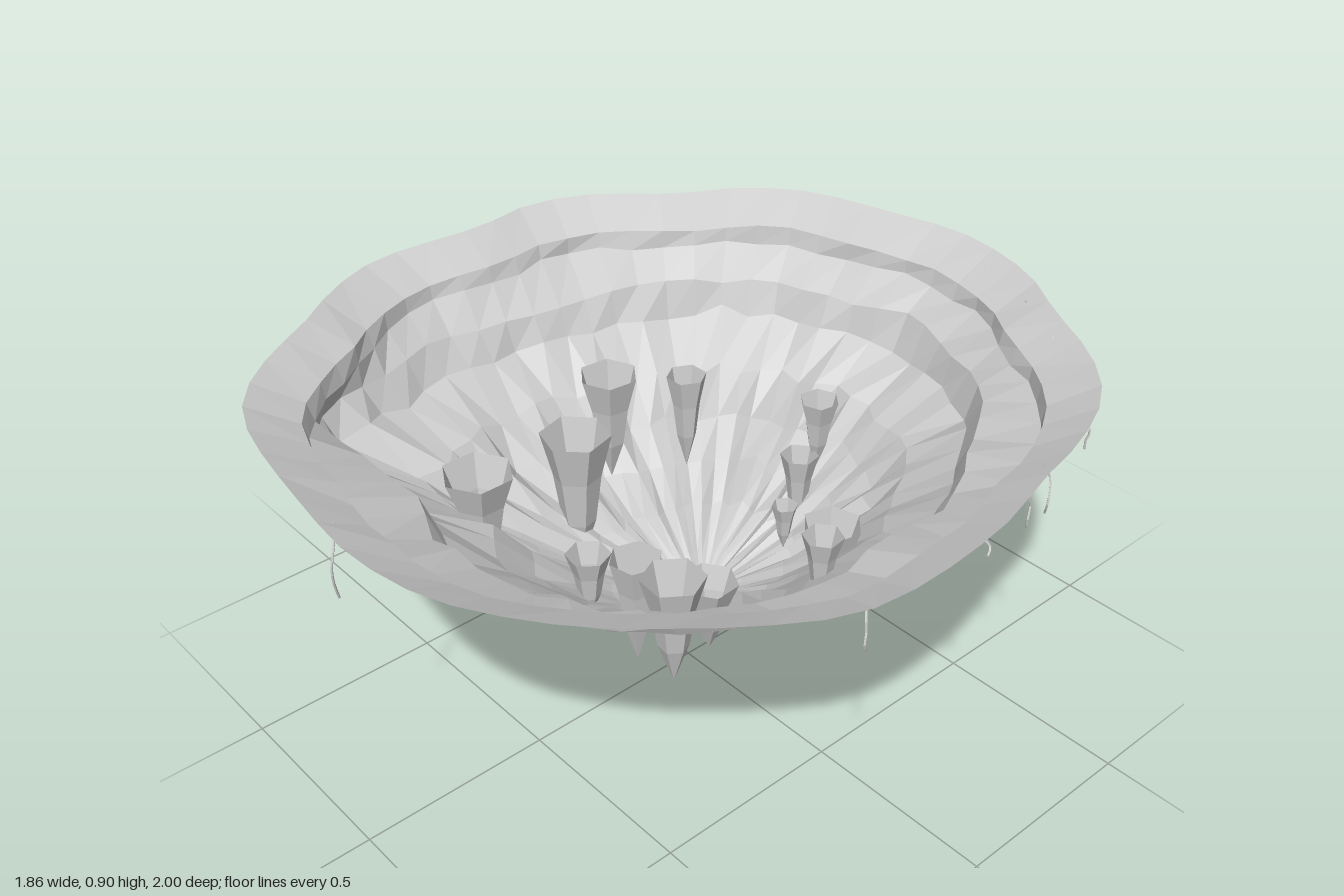
import * as THREE from 'three';

const stone = new THREE.MeshStandardMaterial({ color: 0xcccccc, flatShading: true, side: THREE.DoubleSide });
stone.name = 'paleStone';

// Repeatable noise in the range -1..1
function makeNoise(seed) {
  return () => {
    seed = (seed * 16807) % 2147483647;
    return (seed / 2147483647) * 2 - 1;
  };
}

const TIP = new THREE.Vector3(-0.08, 0, -0.12);
const SEGMENTS = 60;

// Closed outline through x, z pairs, sampled evenly
function sampleOutline(pairs, tension) {
  const points = pairs.map(([x, z]) => new THREE.Vector3(x, 0, z));
  return new THREE.CatmullRomCurve3(points, true, 'catmullrom', tension).getSpacedPoints(SEGMENTS);
}

// Wavy rim
const RIM = sampleOutline([
  [0, -1], [0.24, -0.95], [0.42, -0.84], [0.61, -0.73], [0.74, -0.6], [0.82, -0.42], [0.86, -0.24],
  [0.91, -0.05], [0.93, 0.19], [0.91, 0.37], [0.82, 0.53], [0.69, 0.69], [0.56, 0.82], [0.35, 0.95],
  [0.13, 0.995], [-0.08, 0.98], [-0.39, 0.93], [-0.55, 0.86], [-0.67, 0.73], [-0.76, 0.58],
  [-0.87, 0.42], [-0.93, 0.24], [-0.91, -0.05], [-0.93, -0.24], [-0.86, -0.42], [-0.72, -0.58],
  [-0.62, -0.75], [-0.47, -0.88], [-0.24, -0.95],
], 0.5);

// Craggier outline of the rock below it
const TERRACE = sampleOutline([
  [0, -0.75], [0.16, -0.71], [0.35, -0.63], [0.42, -0.57], [0.49, -0.45], [0.56, -0.34], [0.64, -0.16],
  [0.62, 0], [0.66, 0.21], [0.58, 0.4], [0.43, 0.58], [0.29, 0.67], [0.13, 0.7], [-0.05, 0.7],
  [-0.18, 0.65], [-0.42, 0.65], [-0.6, 0.66], [-0.66, 0.43], [-0.71, 0.21], [-0.66, -0.13],
  [-0.6, -0.34], [-0.5, -0.5], [-0.39, -0.63], [-0.23, -0.68],
], 0.2);

// Rings from rim to tip: [outline, height, scale, radial noise, height noise, gully depth]
const RINGS = [
  [RIM, 0.905, 1, 0, 0, 0],
  [RIM, 0.842, 0.88, 0.006, 0.003, 0],
  [RIM, 0.797, 0.872, 0.008, 0.008, 0],
  [TERRACE, 0.728, 1.035, 0.012, 0.01, 0],
  [TERRACE, 0.645, 0.985, 0.015, 0.018, 0.01],
  [TERRACE, 0.535, 0.785, 0.025, 0.018, 0.025],
  [TERRACE, 0.43, 0.66, 0.025, 0.018, 0.045],
  [TERRACE, 0.34, 0.51, 0.025, 0.012, 0.07],
  [TERRACE, 0.25, 0.365, 0.02, 0.008, 0.1],
  [TERRACE, 0.165, 0.18, 0.02, 0.004, 0.12],
  [TERRACE, 0.095, 0.005, 0, 0, 0],
];

// Open, flat-faceted bowl of rock
function makeBowl() {
  const noise = makeNoise(4127);
  const gully = Array.from({ length: SEGMENTS }, noise);
  const positions = [];
  const index = [];
  RINGS.forEach(([outline, y, scale, rough, bump, depth], i) => {
    const shift = outline === RIM ? 0 : Math.max(0, 1 - scale * 0.84);
    const squeeze = 1 - 0.13 * shift; // the lower rock is narrower from side to side
    for (let j = 0; j < SEGMENTS; j++) {
      const s = scale * (1 + rough * noise() + depth * gully[j]);
      const { x, z } = outline[j];
      positions.push(x * s * squeeze + TIP.x * shift, y + bump * noise(), z * s + TIP.z * shift);
      if (i === 0) continue;
      const k = (j + 1) % SEGMENTS;
      const a = (i - 1) * SEGMENTS + j, b = (i - 1) * SEGMENTS + k;
      const c = i * SEGMENTS + j, d = i * SEGMENTS + k;
      index.push(a, b, c, b, d, c);
    }
  });
  const indexed = new THREE.BufferGeometry();
  indexed.setAttribute('position', new THREE.Float32BufferAttribute(positions, 3));
  indexed.setIndex(index);
  const geometry = indexed.toNonIndexed();
  geometry.computeVertexNormals();
  const mesh = new THREE.Mesh(geometry, stone);
  mesh.name = 'rockBowl';
  return mesh;
}

// Hollow six-sided stalactite, open at the top, with its point at tipY
function makeStalactite(x, z, radius, tipY, topY, turn) {
  const height = topY - tipY;
  const profile = [[0, 0], [0.48, 0.36], [0.68, 0.7], [1, 1]]
    .map(([r, h]) => new THREE.Vector2(r * radius, h * height));
  const mesh = new THREE.Mesh(new THREE.LatheGeometry(profile, 6), stone);
  mesh.position.set(x, tipY, z);
  mesh.rotation.y = turn;
  mesh.name = 'stalactite';
  return mesh;
}

// [x, z, top radius, height of the point, height of the open top]
const STALACTITES = [
  [-0.28, 0.43, 0.093, 0.345, 0.64], [-0.04, 0.29, 0.058, 0.265, 0.46], [0.13, 0.28, 0.067, 0.23, 0.54],
  [0.3, 0.2, 0.07, 0.33, 0.53], [0.35, 0.355, 0.077, 0.35, 0.65], [0.325, -0.18, 0.077, 0.25, 0.52],
  [0.47, 0.01, 0.05, 0.47, 0.66], [0.055, -0.29, 0.036, 0.24, 0.38], [-0.01, -0.47, 0.054, 0.39, 0.6],
  [-0.015, -0.41, 0.052, 0.215, 0.45], [-0.31, -0.27, 0.055, 0.33, 0.62], [-0.385, -0.065, 0.08, 0.35, 0.67],
  [-0.342, 0.085, 0.095, 0.15, 0.57],
];

// Thin root drooping from just under the rim
function makeRoot(x, z, length, noise) {
  const points = [];
  for (let i = 0; i <= 4; i++) {
    const t = i / 4;
    const out = 0.965 + 0.02 * Math.sin(t * Math.PI * 0.7);
    points.push(new THREE.Vector3(x * out + 0.007 * noise(), 0.885 - length * t, z * out + 0.007 * noise()));
  }
  const curve = new THREE.CatmullRomCurve3(points);
  const mesh = new THREE.Mesh(new THREE.TubeGeometry(curve, 8, 0.003, 4), stone);
  mesh.name = 'hangingRoot';
  return mesh;
}

// [x, z, length]
const ROOTS = [
  [-0.02, 0.985, 0.19], [0.15, -0.98, 0.19], [0.07, -0.99, 0.16], [-0.19, -0.96, 0.14],
  [0.91, -0.02, 0.06], [0.86, -0.23, 0.12], [0.84, -0.32, 0.13], [0.76, -0.56, 0.1],
  [0.65, -0.71, 0.08], [0.5, -0.79, 0.08], [0.33, -0.89, 0.1], [0.92, 0.35, 0.1],
  [-0.93, -0.24, 0.16], [-0.88, -0.37, 0.14], [-0.92, 0.06, 0.14],
];

export function createModel() {
  const model = new THREE.Group();
  model.name = 'floatingRockBase';
  model.add(makeBowl());

  const stalactites = new THREE.Group();
  stalactites.name = 'stalactites';
  STALACTITES.forEach(([x, z, r, tipY, topY], i) => stalactites.add(makeStalactite(x, z, r, tipY, topY, i * 0.37)));
  // Slim point at the very bottom
  const point = makeStalactite(TIP.x, TIP.z, 0.02, 0, 0.115, 0);
  point.name = 'bottomPoint';
  stalactites.add(point);
  model.add(stalactites);

  const roots = new THREE.Group();
  roots.name = 'hangingRoots';
  const noise = makeNoise(991);
  ROOTS.forEach(([x, z, length]) => roots.add(makeRoot(x, z, length, noise)));
  model.add(roots);
  return model;
}
